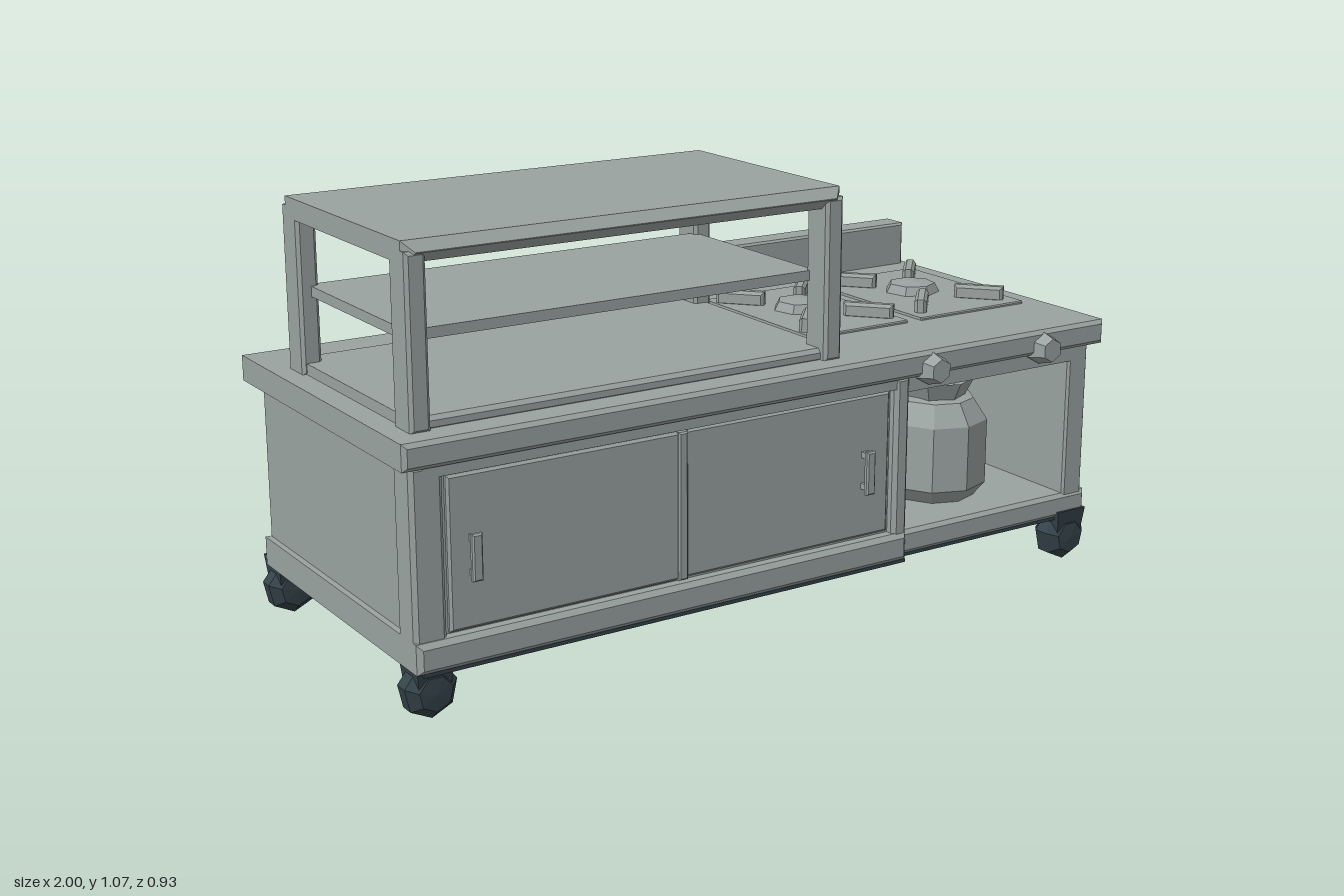
import * as THREE from 'three';

const steel = new THREE.MeshStandardMaterial({ color: 0x9aa3a1, flatShading: true, side: THREE.DoubleSide });
steel.name = 'brushed steel';
const dark = new THREE.MeshStandardMaterial({ color: 0x344249, flatShading: true });
dark.name = 'dark rubber';

// Box given by its extents, with chamfered edges when b > 0
function slab(x0, x1, y0, y1, z0, z1, b = 0) {
  const w = x1 - x0, h = y1 - y0, d = z1 - z0;
  let g;
  if (b > 0) {
    const s = new THREE.Shape();
    const a = w / 2 - b, c = h / 2 - b;
    s.moveTo(-a, -c).lineTo(a, -c).lineTo(a, c).lineTo(-a, c).closePath();
    g = new THREE.ExtrudeGeometry(s, {
      depth: d - 2 * b, bevelEnabled: true, bevelSegments: 1, bevelSize: b, bevelThickness: b,
    });
    g.translate(0, 0, -(d / 2 - b));
  } else {
    g = new THREE.BoxGeometry(w, h, d);
  }
  return g.translate((x0 + x1) / 2, (y0 + y1) / 2, (z0 + z1) / 2);
}

function lathe(points, sides) {
  return new THREE.LatheGeometry(points.map(([r, y]) => new THREE.Vector2(r, y)), sides);
}

export function createModel() {
  const root = new THREE.Group();
  root.name = 'cookingCart';
  const add = (parent, name, geometry, material = steel) => {
    const m = new THREE.Mesh(geometry, material);
    m.name = name;
    parent.add(m);
    return m;
  };
  const group = (name, x = 0, y = 0, z = 0) => {
    const g = new THREE.Group();
    g.name = name;
    g.position.set(x, y, z);
    root.add(g);
    return g;
  };

  // Cabinet and its front frame
  const body = group('body');
  add(body, 'cabinet', slab(-0.965, 0.36, 0.13, 0.6, -0.41, 0.395));
  add(body, 'leftFramePost', slab(-0.98, -0.9, 0.15, 0.59, 0.33, 0.415, 0.01));
  add(body, 'middleFramePost', slab(0.325, 0.37, 0.15, 0.59, 0.33, 0.42, 0.01));
  add(body, 'topFrameRail', slab(-0.95, 0.36, 0.56, 0.6, 0.36, 0.415));
  add(body, 'cabinetSkirting', slab(-0.98, 0.365, 0.118, 0.19, -0.425, 0.43, 0.012));

  // Sliding doors with handles
  add(body, 'leftDoor', slab(-0.89, -0.27, 0.195, 0.555, 0.38, 0.408, 0.006));
  add(body, 'rightDoor', slab(-0.285, 0.32, 0.195, 0.555, 0.38, 0.402, 0.006));
  add(body, 'doorEdge', slab(-0.3, -0.275, 0.195, 0.555, 0.38, 0.415, 0.004));
  for (const x of [-0.83, 0.245]) {
    add(body, 'handleGrip', slab(x - 0.013, x + 0.013, 0.31, 0.42, 0.416, 0.432, 0.004));
    for (const y of [0.32, 0.4]) add(body, 'handleMount', slab(x - 0.01, x + 0.01, y, y + 0.015, 0.395, 0.42));
  }

  // Open bay for the gas bottle
  const bay = group('bottleBay');
  add(bay, 'bayFloor', slab(0.36, 0.975, 0.125, 0.187, -0.425, 0.41, 0.01));
  add(bay, 'bayBack', slab(0.355, 0.96, 0.15, 0.6, -0.41, -0.36));
  add(bay, 'baySide', slab(0.9, 0.965, 0.15, 0.6, -0.41, 0.405, 0.006));
  add(bay, 'bayTopRail', slab(0.36, 0.95, 0.545, 0.6, 0.35, 0.405));

  // Dark underside
  add(root, 'underside', slab(-0.965, 0.365, 0.11, 0.119, -0.415, 0.42), dark);
  add(root, 'bayUnderside', slab(0.365, 0.965, 0.116, 0.126, -0.415, 0.4), dark);

  // Worktop and splash guard
  add(root, 'worktop', slab(-1, 0.995, 0.585, 0.648, -0.46, 0.43, 0.01));
  add(root, 'splashGuard', slab(0.16, 0.98, 0.6, 0.765, -0.463, -0.385, 0.006));

  // Serving shelf on four posts
  const rack = group('servingShelf');
  add(rack, 'rackBase', slab(-0.94, 0.18, 0.64, 0.675, -0.27, 0.35, 0.01));
  add(rack, 'rackTop', slab(-0.95, 0.195, 1.015, 1.065, -0.28, 0.37, 0.024));
  add(rack, 'middleShelf', slab(-0.92, 0.16, 0.833, 0.858, -0.22, 0.3));
  for (const x of [-0.95, 0.145])
    for (const z of [-0.28, 0.285])
      add(rack, 'rackPost', slab(x, x + 0.05, 0.645, 1.043, z, z + 0.083, 0.008));

  // Two burners, each with a plate, a cap and four diagonal pan supports
  for (const [x, halfWidth] of [[0.395, 0.155], [0.765, 0.172]]) {
    const burner = group('burner', x, 0.648, -0.06);
    add(burner, 'burnerPlate', slab(-halfWidth, halfWidth, -0.005, 0.007, -0.235, 0.24, 0.003));
    add(burner, 'burnerCap', lathe([[0.075, 0.005], [0.062, 0.03], [0, 0.036]], 7)).position.z = -0.015;
    for (const sx of [-1, 1])
      for (const sz of [-1, 1]) {
        const arm = add(burner, 'panSupport', slab(-0.065, 0.065, 0, 0.042, -0.016, 0.016, 0.008));
        arm.position.set(sx * 0.098, 0, sz * 0.148);
        arm.rotation.y = -sx * sz * 0.85;
      }
  }

  // Gas control knobs
  for (const x of [0.43, 0.79]) {
    const knob = add(root, 'knob', new THREE.CylinderGeometry(0.03, 0.045, 0.05, 6));
    knob.rotation.x = Math.PI / 2;
    knob.position.set(x, 0.602, 0.437);
  }

  // Gas bottle with its flared collar and valve
  const bottle = group('gasBottle', 0.63, 0.185, 0.2);
  add(bottle, 'bottleBody', lathe([[0, 0], [0.105, 0], [0.137, 0.04], [0.137, 0.21], [0.1, 0.265], [0, 0.28]], 9));
  add(bottle, 'bottleCollar', new THREE.CylinderGeometry(0.1, 0.07, 0.06, 7, 1, true)).position.y = 0.285;
  add(bottle, 'bottleValve', new THREE.CylinderGeometry(0.025, 0.03, 0.05, 6)).position.y = 0.29;

  // Casters: a bracket above a faceted wheel
  for (const x of [-0.933, 0.925])
    for (const z of [-0.385, 0.37]) {
      const caster = group('caster', x, 0, z);
      const bracket = new THREE.CylinderGeometry(0.066, 0.055, 0.07, 4, 1);
      add(caster, 'casterBracket', bracket.rotateY(Math.PI / 4).translate(0, 0.105, 0), dark);
      const wheel = lathe([[0, -0.048], [0.042, -0.045], [0.066, -0.018], [0.066, 0.018], [0.042, 0.045], [0, 0.048]], 7);
      add(caster, 'casterWheel', wheel.rotateX(Math.PI / 2).translate(0, 0.064, 0), dark);
    }

  return root;
}
